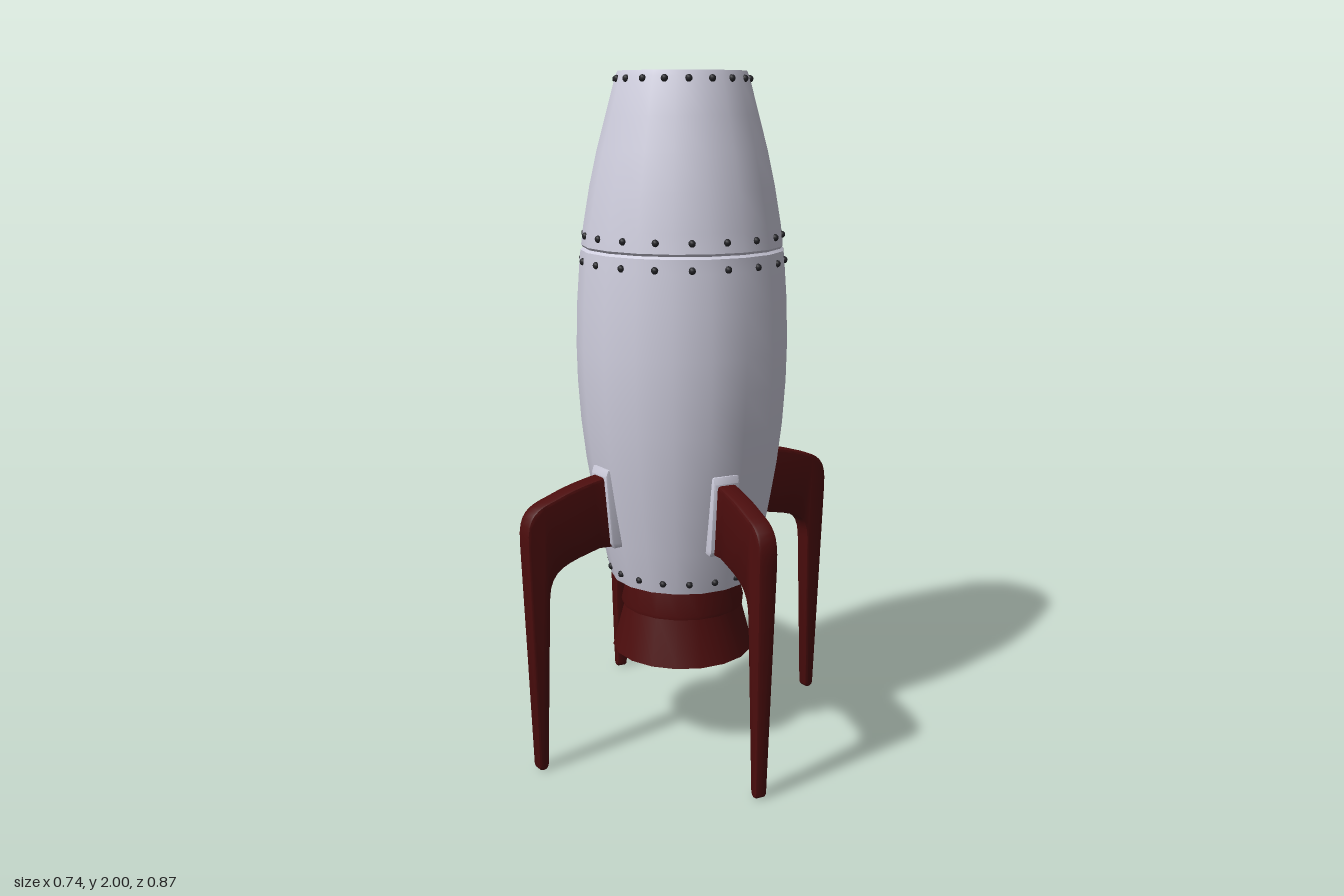
import * as THREE from 'three';
import { toCreasedNormals } from 'three/addons/utils/BufferGeometryUtils.js';

const SIDES = 18;
const STEP = (Math.PI * 2) / SIDES;
const paint = (color) => new THREE.MeshStandardMaterial({ color });
const hull = paint(0xcfcede), red = paint(0x4c0d0d), dark = paint(0x26262a), glass = paint(0x3c44b8);

function add(parent, name, geometry, material) {
  const mesh = new THREE.Mesh(geometry, material);
  mesh.name = name;
  parent.add(mesh);
  return mesh;
}

// Turned shape, points listed from the bottom up, with a facet centred on +z and -z
function turned(points) {
  return new THREE.LatheGeometry(points.map(([r, y]) => new THREE.Vector2(r, y)), SIDES, STEP / 2);
}

// Side profile (radius, height) given a thickness, centred on its own plane
function slab(shape, thickness, bevel) {
  const g = new THREE.ExtrudeGeometry(shape, {
    depth: thickness - 2 * bevel, bevelThickness: bevel, bevelSize: bevel,
    bevelOffset: -bevel, bevelSegments: 2, curveSegments: 8,
  });
  return g.translate(0, 0, bevel - thickness / 2);
}

const LOWER = [
  [0.15, 0.535], [0.2, 0.535], [0.205, 0.515], [0.218, 0.515], [0.222, 0.53], [0.247, 0.645], [0.269, 0.765],
  [0.288, 0.88], [0.302, 1.0], [0.31, 1.12], [0.312, 1.22], [0.308, 1.35], [0.3, 1.46],
  [0.296, 1.5], [0.288, 1.507],
];
const UPPER = [
  [0.288, 1.507], [0.294, 1.514], [0.287, 1.57], [0.268, 1.68], [0.246, 1.78],
  [0.219, 1.88], [0.191, 1.985], [0.184, 2], [0, 2],
];
const HATCH_ROW = 5, HATCH_FACET = 8;

// Sunken hatch filling one facet of the lower hull: rim, walls and floor
function hatchGeometry(corners) {
  const centre = corners.reduce((s, c) => s.add(c), new THREE.Vector3()).multiplyScalar(0.25);
  const inset = corners.map((c) => c.clone().lerp(centre, 0.14));
  const floor = inset.map((c) => c.clone().add(new THREE.Vector3(0, 0, 0.014)));
  const rings = [corners, inset, floor];
  const pos = [];
  const quad = (a, b, c, d) => [a, b, c, a, c, d].forEach((v) => pos.push(v.x, v.y, v.z));
  for (let r = 0; r < 2; r++) {
    for (let i = 0; i < 4; i++) {
      const j = (i + 1) % 4;
      quad(rings[r][i], rings[r][j], rings[r + 1][j], rings[r + 1][i]);
    }
  }
  quad(...floor);
  const g = new THREE.BufferGeometry();
  g.setAttribute('position', new THREE.Float32BufferAttribute(pos, 3));
  g.computeVertexNormals();
  return g;
}

function addHull(parent) {
  const g = turned(LOWER);
  const n = LOWER.length;
  // Leave one facet out of the back for the hatch
  const index = Array.from(g.index.array);
  index.splice((HATCH_FACET * (n - 1) + HATCH_ROW) * 6, 6);
  const first = HATCH_FACET * n + HATCH_ROW;
  const corners = [first, first + n, first + n + 1, first + 1]
    .map((i) => new THREE.Vector3().fromBufferAttribute(g.attributes.position, i));
  g.setIndex(index);
  add(parent, 'lowerHull', toCreasedNormals(g, 0.5), hull);
  add(parent, 'upperHull', toCreasedNormals(turned(UPPER), 0.5), hull);
  add(parent, 'hatch', hatchGeometry(corners), hull);
}

// Rows of rivets, one in the middle of each facet
function addRivets(parent) {
  const rivets = new THREE.Group();
  rivets.name = 'rivets';
  const ball = new THREE.SphereGeometry(0.0105, 8, 6);
  for (const [y, r] of [[1.978, 0.193], [1.543, 0.291], [1.47, 0.299], [0.547, 0.2255]]) {
    for (let i = 0; i < SIDES; i++) {
      const a = i * STEP, reach = r * Math.cos(STEP / 2);
      add(rivets, 'rivet', ball, dark).position.set(Math.sin(a) * reach, y, Math.cos(a) * reach);
    }
  }
  parent.add(rivets);
}

// Hollow two-stage nozzle
function addNozzle(parent) {
  const points = [
    [0, 0.45], [0.13, 0.44], [0.204, 0.28], [0.215, 0.28], [0.178, 0.422],
    [0.187, 0.422], [0.188, 0.432], [0.163, 0.54],
  ];
  add(parent, 'nozzle', toCreasedNormals(turned(points), 0.5), red);
}

// Four bent legs with a mounting block at each root
function addLegs(parent) {
  const s = new THREE.Shape();
  s.moveTo(0.25, 0.645);
  s.lineTo(0.31, 0.65);
  s.bezierCurveTo(0.42, 0.625, 0.475, 0.62, 0.477, 0.53);
  s.lineTo(0.49, 0.02);
  s.quadraticCurveTo(0.491, 0, 0.507, 0);
  s.quadraticCurveTo(0.523, 0, 0.524, 0.02);
  s.lineTo(0.547, 0.7);
  s.bezierCurveTo(0.551, 0.79, 0.52, 0.805, 0.45, 0.825);
  s.quadraticCurveTo(0.38, 0.85, 0.29, 0.862);
  s.lineTo(0.25, 0.862);
  const leg = slab(s, 0.058, 0.009);
  // Thin the leg towards its foot
  const p = leg.attributes.position;
  for (let i = 0; i < p.count; i++) {
    p.setZ(i, p.getZ(i) * (0.6 + 0.4 * Math.min(1, p.getY(i) / 0.65)));
  }
  const legGeometry = toCreasedNormals(leg, 0.7);

  const block = new THREE.Shape([
    [0.2, 0.645], [0.268, 0.645], [0.278, 0.66], [0.297, 0.865], [0.29, 0.885], [0.2, 0.885],
  ].map(([r, y]) => new THREE.Vector2(r, y)));
  const blockGeometry = toCreasedNormals(slab(block, 0.082, 0.006), 0.5);

  for (const degrees of [50, 130, 230, 310]) {
    const group = new THREE.Group();
    group.name = 'landingLeg';
    add(group, 'leg', legGeometry, red);
    add(group, 'legMount', blockGeometry, hull);
    group.rotation.y = THREE.MathUtils.degToRad(degrees);
    parent.add(group);
  }
}

// Round porthole on the back, lying along the sloping hull
function addPorthole(parent) {
  const porthole = new THREE.Group();
  porthole.name = 'porthole';
  const ring = new THREE.Shape().absarc(0, 0, 0.061, 0, Math.PI * 2);
  ring.holes.push(new THREE.Path().absarc(0, 0, 0.043, 0, Math.PI * 2, true));
  const frame = new THREE.ExtrudeGeometry(ring, {
    depth: 0.032, bevelThickness: 0.003, bevelSize: 0.003, bevelOffset: -0.003, bevelSegments: 1, curveSegments: 12,
  }).translate(0, 0, -0.015);
  add(porthole, 'portholeFrame', toCreasedNormals(frame, 0.5), red);
  const pane = add(porthole, 'pane', new THREE.CylinderGeometry(0.045, 0.045, 0.02, 24), glass);
  pane.rotation.x = Math.PI / 2;
  porthole.position.set(0, 1.65, -0.269);
  porthole.rotation.set(0.18, Math.PI, 0);
  porthole.rotation.order = 'XYZ';
  parent.add(porthole);
}

export function createModel() {
  const rocket = new THREE.Group();
  rocket.name = 'rocket';
  addHull(rocket);
  addRivets(rocket);
  addNozzle(rocket);
  addLegs(rocket);
  addPorthole(rocket);
  return rocket;
}
